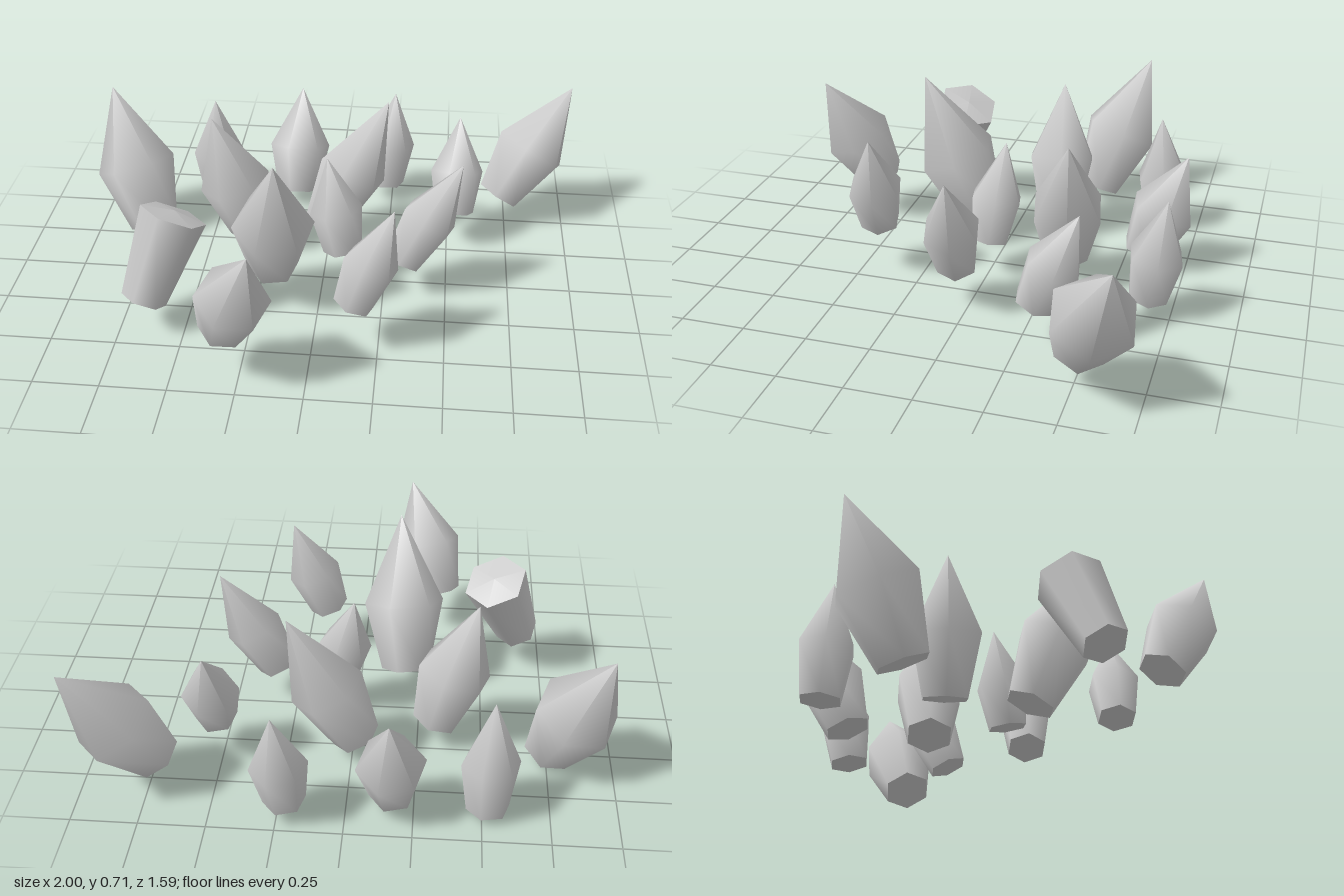
import * as THREE from 'three';

// One six-sided crystal standing on y = 0: flat foot, flared body, pointed or blunt top
function crystalGeometry(length, radius, shoulder) {
  const foot = 0.04 + 0.37 * radius;
  const profile = [
    [0, 0], [foot, 0], [foot, 0], // doubled point keeps the foot edge sharp
    [radius, length * shoulder],
    ...(shoulder > 0.9 ? [[radius, length * shoulder]] : []), // blunt top has a sharp rim
    [0, length],
  ].map(([x, y]) => new THREE.Vector2(x, y));
  return new THREE.LatheGeometry(profile, 6, 0.73);
}

// foot centre, tip, widest radius, and where along the length it is widest
const CRYSTALS = [
  // back row
  { foot: [-0.76, 0.045, -0.265], tip: [-0.94, 0.60, -0.455], radius: 0.165 },
  { foot: [-0.52, 0.03, -0.60], tip: [-0.525, 0.49, -0.575], radius: 0.11 },
  { foot: [-0.17, 0.065, -0.58], tip: [-0.16, 0.49, -0.735], radius: 0.13 },
  { foot: [0.22, 0.075, -0.66], tip: [0.25, 0.49, -0.72], radius: 0.108 },
  { foot: [0.72, 0.13, -0.51], tip: [1.0, 0.585, -0.66], radius: 0.16 },
  // middle rows
  { foot: [0.525, 0.16, -0.30], tip: [0.53, 0.53, -0.455], radius: 0.11 },
  { foot: [-0.015, 0.09, -0.295], tip: [0.235, 0.645, -0.345], radius: 0.145 },
  { foot: [-0.32, 0.105, -0.19], tip: [-0.465, 0.625, -0.17], radius: 0.145 },
  { foot: [0.08, 0.15, 0.0], tip: [0.01, 0.54, -0.05], radius: 0.106 },
  { foot: [0.33, 0.16, 0.055], tip: [0.54, 0.585, 0.03], radius: 0.112 },
  { foot: [-0.19, 0.13, 0.11], tip: [-0.15, 0.715, 0.335], radius: 0.16 },
  // front row, including one blunt crystal
  { foot: [-0.65, 0.14, 0.40], tip: [-0.533, 0.47, 0.272], radius: 0.13, shoulder: 0.95 },
  { foot: [-0.31, 0.19, 0.60], tip: [-0.18, 0.63, 0.785], radius: 0.14 },
  { foot: [0.155, 0.205, 0.43], tip: [0.295, 0.605, 0.41], radius: 0.107 },
];

export function createModel() {
  const group = new THREE.Group();
  group.name = 'crystalCluster';
  const material = new THREE.MeshStandardMaterial({ color: 0xcccccc });
  const up = new THREE.Vector3(0, 1, 0);

  CRYSTALS.forEach(({ foot, tip, radius, shoulder = 0.44 }, i) => {
    const base = new THREE.Vector3(...foot);
    const axis = new THREE.Vector3(...tip).sub(base);
    const crystal = new THREE.Mesh(crystalGeometry(axis.length(), radius, shoulder), material);
    crystal.name = `crystal${i + 1}`;
    crystal.position.copy(base);
    crystal.quaternion.setFromUnitVectors(up, axis.normalize());
    group.add(crystal);
  });
  return group;
}
